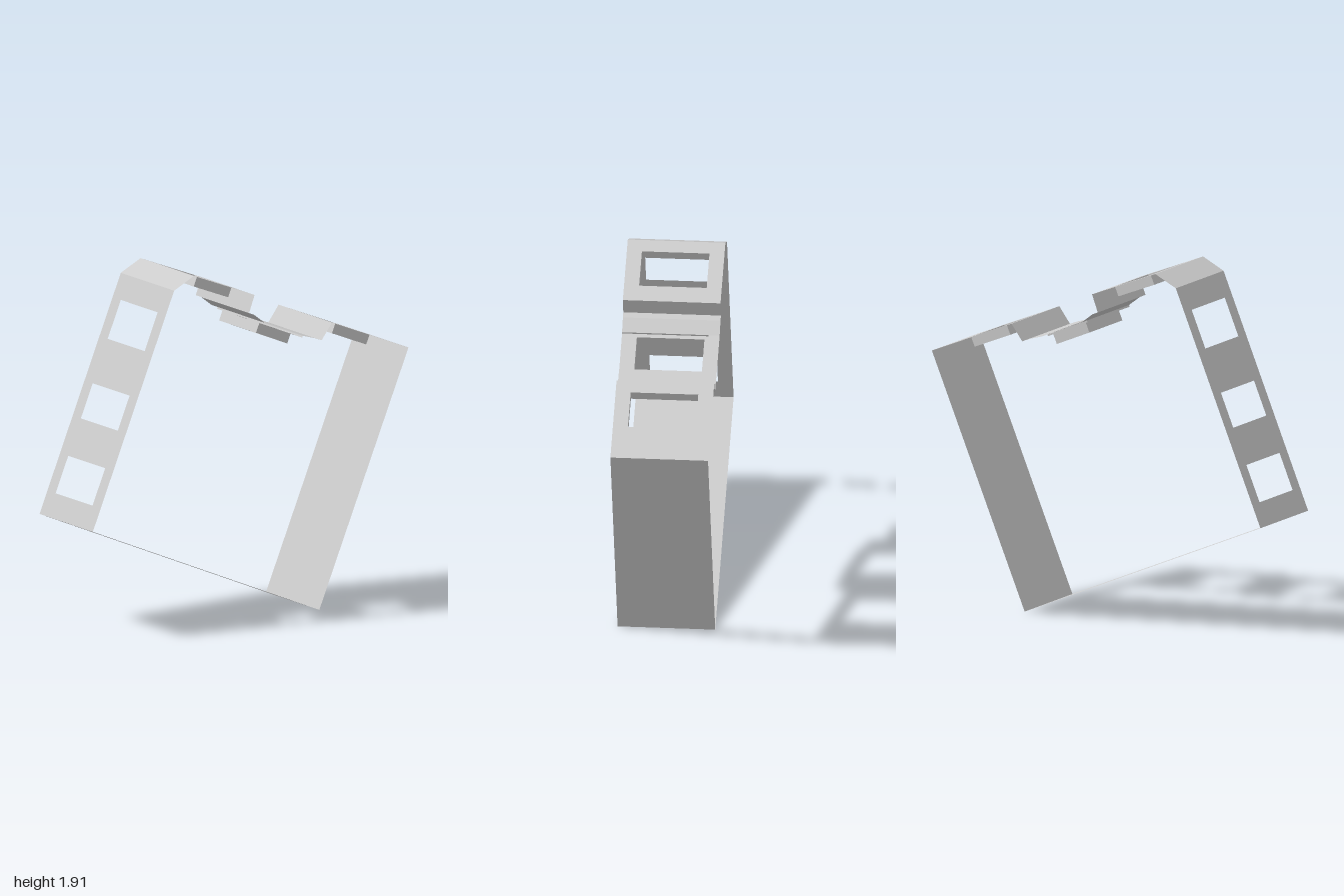
import * as THREE from 'three';

const material = new THREE.MeshStandardMaterial({ color: 0xcccccc, side: THREE.DoubleSide, flatShading: true });
const HALF = 0.26;        // half depth of the band
const OPEN = 0.18;        // half depth of the window openings
const DOWN = [-0.385, -0.923]; // inward direction of the tilted roof

// Flat sheet spanning profile points a to b, from z0 to z1, with windows given as x ranges
function sheet(name, a, b, { z0 = -HALF, z1 = HALF, windows = [] } = {}) {
  const dir = new THREE.Vector3(b[0] - a[0], b[1] - a[1], 0);
  const length = dir.length();
  dir.normalize();
  const rect = (Type, u0, u1, v0, v1) => new Type([
    new THREE.Vector2(u0, v0), new THREE.Vector2(u1, v0),
    new THREE.Vector2(u1, v1), new THREE.Vector2(u0, v1)]);
  const shape = rect(THREE.Shape, 0, length, -z1, -z0);
  for (const [x0, x1] of windows) {
    shape.holes.push(rect(THREE.Path, (x0 - a[0]) / dir.x, (x1 - a[0]) / dir.x, -OPEN, OPEN));
  }
  const geometry = new THREE.ShapeGeometry(shape);
  const across = new THREE.Vector3(0, 0, -1);
  geometry.applyMatrix4(new THREE.Matrix4()
    .makeBasis(dir, across, dir.clone().cross(across)).setPosition(a[0], a[1], 0));
  const mesh = new THREE.Mesh(geometry, material);
  mesh.name = name;
  return mesh;
}

// Upright panel parallel to the front, with corners in x and y
function sidePanel(name, corners, z) {
  const shape = new THREE.Shape(corners.map(([x, y]) => new THREE.Vector2(x, y)));
  const mesh = new THREE.Mesh(new THREE.ShapeGeometry(shape), material);
  mesh.position.z = z;
  mesh.name = name;
  return mesh;
}

const inward = ([x, y], d) => [x + DOWN[0] * d, y + DOWN[1] * d];
const along = (a, b, x) => [x, a[1] + (b[1] - a[1]) * (x - a[0]) / (b[0] - a[0])];

// Four walls hanging below a roof window, open at top and bottom
function windowFrame(name, a, b, [x0, x1], depth) {
  const group = new THREE.Group();
  group.name = name;
  const p = along(a, b, x0), q = along(a, b, x1);
  const pIn = inward(p, depth), qIn = inward(q, depth);
  const span = { z0: -OPEN, z1: OPEN };
  group.add(sheet('frameEnd', p, pIn, span), sheet('frameEnd', q, qIn, span));
  for (const z of [-OPEN, OPEN]) group.add(sidePanel('frameSide', [p, q, qIn, pIn], z));
  return group;
}

export function createModel() {
  const model = new THREE.Group();
  model.name = 'tiltedBand';

  const baseRight = [-1, 0.6], baseLeft = [0.435, 0], roofLeft = [1, 1.36];
  const chamferLow = [-0.485, 1.85], chamferHigh = [-0.36, 1.915];
  const upperEnd = [0.025, 1.765], outerStart = [0.515, 1.555];
  const dipStart = [-0.01, 1.67], dipSlope = [0.022, 1.657];
  const midStart = [0.09, 1.605], midEnd = [0.33, 1.505];
  const dipLip = [0.4, 1.485], dipEnd = [0.45, 1.466];

  // Plain floor and wall, pierced wall, and chamfer
  model.add(
    sheet('floor', baseRight, baseLeft),
    sheet('leftWall', baseLeft, roofLeft),
    sheet('rightWall', baseRight, chamferLow,
      { windows: [[-0.95, -0.87], [-0.79, -0.715], [-0.62, -0.537]] }),
    sheet('chamfer', chamferLow, chamferHigh));

  // Upper and outer roof panels
  const upperWindow = [-0.288, -0.07], outerWindow = [0.588, 0.805];
  model.add(
    sheet('upperRoof', chamferHigh, upperEnd, { windows: [upperWindow] }),
    windowFrame('upperWindow', chamferHigh, upperEnd, upperWindow, 0.055),
    sheet('outerRoof', outerStart, roofLeft, { windows: [outerWindow] }),
    windowFrame('outerWindow', outerStart, roofLeft, outerWindow, 0.055));

  // Stepped dip between the two roof panels
  const steps = [[upperEnd, dipStart], [dipStart, dipSlope], [dipSlope, midStart],
    [midEnd, dipLip], [dipLip, dipEnd], [dipEnd, outerStart]];
  for (const [a, b] of steps) model.add(sheet('dipStep', a, b));

  // Shallow recess with the middle window
  const recessBack = -0.2, sunk = 0.01, recess = { z0: recessBack };
  const floorA = inward(midStart, sunk), floorB = inward(midEnd, sunk);
  const midWindow = [0.107, 0.305];
  model.add(
    sheet('recessRim', midStart, midEnd, { z1: recessBack }),
    sheet('recessFloor', floorA, floorB, { ...recess, windows: [midWindow] }),
    sheet('recessEnd', midStart, floorA, recess),
    sheet('recessEnd', midEnd, floorB, recess),
    sidePanel('recessSide', [midStart, midEnd, floorB, floorA], recessBack),
    windowFrame('middleWindow', floorA, floorB, midWindow, 0.055));

  return model;
}
